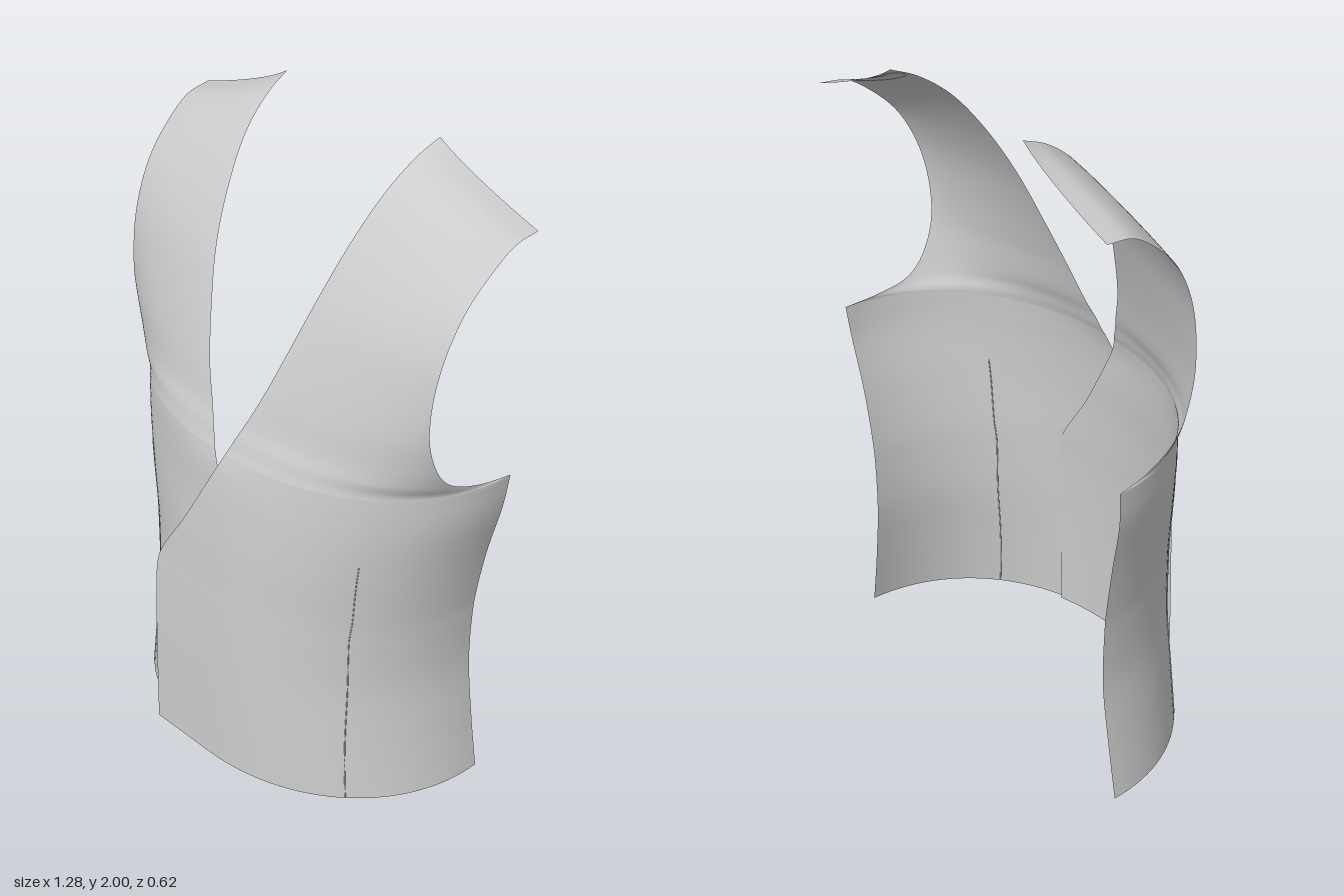
import * as THREE from 'three';

const material = new THREE.MeshStandardMaterial({ color: 0xcccccc, side: THREE.DoubleSide });

// Lower body rows: front edge xyz, then side seam xyz
const bodyRows = [
  [-0.24, 0, 0.31, 0.613, 0.01, -0.23],
  [-0.24, 0.2, 0.307, 0.582, 0.2, -0.232],
  [-0.24, 0.4, 0.302, 0.557, 0.4, -0.235],
  [-0.238, 0.58, 0.295, 0.559, 0.58, -0.235],
  [-0.225, 0.65, 0.291, 0.565, 0.65, -0.236],
  [-0.12, 0.83, 0.282, 0.592, 0.82, -0.24],
  [-0.005, 1.05, 0.26, 0.63, 1.0, -0.25],
  [0.02, 1.105, 0.245, 0.64, 1.105, -0.26],
].map(([a, b, c, d, e, f]) => [a, b, c, d, e, f, d, e, c]);

// Chest and shoulder rows: neckline xyz, armhole xyz, corner where the tangents meet xyz
const chestRows = [
  [0.02, 1.105, 0.245, 0.64, 1.105, -0.26, 0.64, 1.105, 0.245],
  [0.03, 1.13, 0.235, 0.625, 1.12, -0.15, 0.56, 1.13, 0.235],
  [0.045, 1.165, 0.225, 0.607, 1.15, -0.06, 0.52, 1.16, 0.21],
  [0.065, 1.21, 0.208, 0.6, 1.2, -0.01, 0.49, 1.2, 0.18],
  [0.11, 1.32, 0.175, 0.594, 1.31, 0.03, 0.46, 1.31, 0.145],
  [0.155, 1.46, 0.125, 0.595, 1.43, 0.033, 0.42, 1.45, 0.11],
  [0.2, 1.62, 0.06, 0.603, 1.57, 0.005, 0.42, 1.6, 0.055],
  [0.235, 1.77, -0.025, 0.613, 1.7, -0.06, 0.44, 1.74, -0.03],
  [0.262, 1.89, -0.12, 0.622, 1.79, -0.15, 0.45, 1.84, -0.115],
  [0.278, 1.965, -0.22, 0.627, 1.838, -0.225, 0.45, 1.895, -0.21],
  [0.288, 2.0, -0.3, 0.63, 1.85, -0.31, 0.38, 1.93, -0.305],
];

// Three smooth guide curves (front edge, outer edge, corner) through a list of rows
function guides(rows) {
  return [0, 3, 6].map((k) => new THREE.CatmullRomCurve3(
    rows.map((r) => new THREE.Vector3(r[k], r[k + 1], r[k + 2]))));
}
const bodyGuides = guides(bodyRows);
const chestGuides = guides(chestRows);

// One row of cloth: a flat overlap up to the centre line, then a curve round to the side
function makeRow(curves, t, under) {
  const [edge, outer, corner] = curves.map((c) => c.getPoint(t));
  const start = edge.clone();
  start.x = Math.max(edge.x, 0);
  const overlap = start.x - edge.x;
  const split = overlap / (overlap + 0.85);
  const wrap = new THREE.CubicBezierCurve3(start,
    start.clone().lerp(corner, 0.57), outer.clone().lerp(corner, 0.57), outer);
  return (u) => {
    const p = u < split
      ? edge.clone().lerp(start, u / split)
      : wrap.getPoint((u - split) / (1 - split));
    if (under) {
      // The under panel is tucked behind the other one
      const low = 1 - THREE.MathUtils.smoothstep(p.y, 0.9, 1.15);
      p.z -= low * 0.014 * (1 - THREE.MathUtils.smoothstep(p.x, 0.2, 0.45));
      if (p.x < 0) p.z -= 0.6 * p.x * p.x;
    }
    return p;
  };
}

// Cloth panel, mirrored for the right side
function makePanel(name, side, under) {
  const cols = 48, bodySteps = 56, chestSteps = 80;
  const rows = [];
  for (let i = 0; i < bodySteps; i++) rows.push(makeRow(bodyGuides, i / bodySteps, under));
  for (let i = 0; i <= chestSteps; i++) rows.push(makeRow(chestGuides, i / chestSteps, under));
  const positions = [], index = [];
  rows.forEach((row, j) => {
    for (let i = 0; i <= cols; i++) {
      const p = row(i / cols);
      positions.push(side * p.x, p.y, p.z);
      if (j === rows.length - 1 || i === cols) continue;
      const a = j * (cols + 1) + i, b = a + 1, c = a + cols + 1, d = c + 1;
      if (side > 0) index.push(a, b, d, a, d, c);
      else index.push(a, d, b, a, c, d);
    }
  });
  const geometry = new THREE.BufferGeometry();
  geometry.setAttribute('position', new THREE.Float32BufferAttribute(positions, 3));
  geometry.setIndex(index);
  geometry.computeVertexNormals();
  const mesh = new THREE.Mesh(geometry, material);
  mesh.name = name;
  return mesh;
}

// Dart seam: a fine line following the cloth from hem to chest
function makeDart(name, side) {
  const points = [];
  for (let i = 0; i <= 16; i++) {
    const row = makeRow(bodyGuides, (i / 16) * 0.75, false);
    const target = 0.41 + 0.025 * (i / 8 - 1) ** 2;
    let lo = 0, hi = 1;
    for (let n = 0; n < 20; n++) {
      const mid = (lo + hi) / 2;
      if (row(mid).x < target) lo = mid; else hi = mid;
    }
    const p = row(lo);
    points.push(new THREE.Vector3(side * p.x, p.y + 0.004, p.z));
  }
  const curve = new THREE.CatmullRomCurve3(points);
  const mesh = new THREE.Mesh(new THREE.TubeGeometry(curve, 40, 0.002, 5), material);
  mesh.name = name;
  return mesh;
}

export function createModel() {
  const group = new THREE.Group();
  group.name = 'waistcoatFront';
  group.add(
    makePanel('leftPanel', 1, false),
    makePanel('rightPanel', -1, true),
    makeDart('leftDart', 1),
    makeDart('rightDart', -1),
  );
  return group;
}
